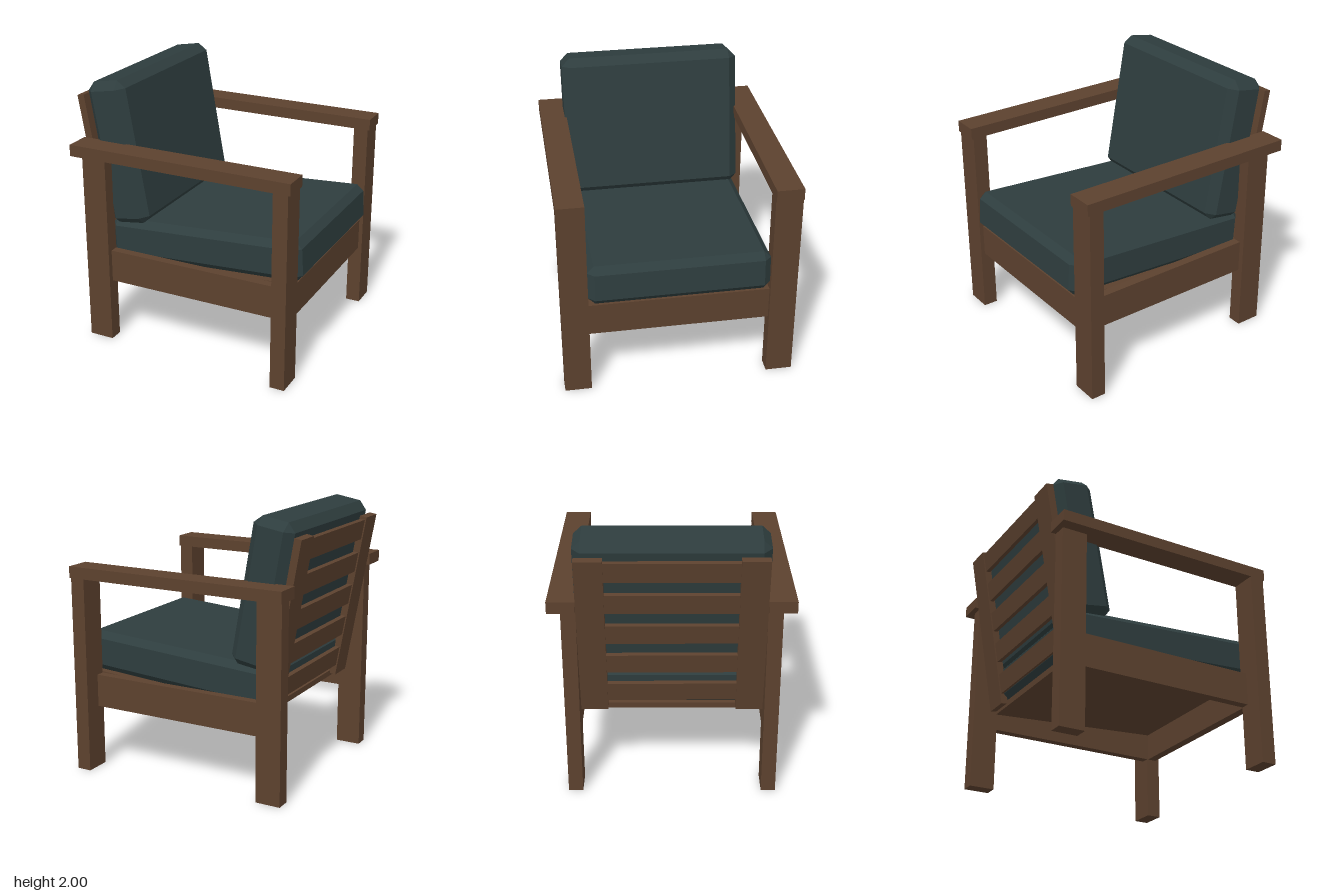
import * as THREE from 'three';
import { ConvexGeometry } from 'three/addons/geometries/ConvexGeometry.js';

export function createModel() {
  const wood = new THREE.MeshStandardMaterial({ color: 0x5c412e });
  wood.name = 'brownWood';
  const fabric = new THREE.MeshStandardMaterial({ color: 0x2e3d3e });
  fabric.name = 'darkGreenFabric';

  const chair = new THREE.Group();
  chair.name = 'armchair';

  // Box given by its min and max on each axis
  function plank(name, [x0, x1], [y0, y1], [z0, z1], parent = chair) {
    const mesh = new THREE.Mesh(new THREE.BoxGeometry(x1 - x0, y1 - y0, z1 - z0), wood);
    mesh.position.set((x0 + x1) / 2, (y0 + y1) / 2, (z0 + z1) / 2);
    mesh.name = name;
    parent.add(mesh);
    return mesh;
  }

  // Box with every edge chamfered and every corner cut to a triangle
  function cushion(name, w, h, d, bevel) {
    const points = [];
    for (const sx of [-1, 1]) for (const sy of [-1, 1]) for (const sz of [-1, 1]) {
      for (let axis = 0; axis < 3; axis++) {
        const inset = [bevel, bevel, bevel];
        inset[axis] = 0;
        points.push(new THREE.Vector3(
          sx * (w / 2 - inset[0]), sy * (h / 2 - inset[1]), sz * (d / 2 - inset[2])));
      }
    }
    const mesh = new THREE.Mesh(new ConvexGeometry(points), fabric);
    mesh.name = name;
    chair.add(mesh);
    return mesh;
  }

  // Legs, arms and side rails, mirrored
  for (const s of [-1, 1]) {
    const span = (a, b) => (s > 0 ? [a, b] : [-b, -a]);
    plank('frontLeg', [0.75, 0.86], [0, 1.47], span(0.655, 0.85));
    plank('rearLeg', [-0.8, -0.61], [0, 1.47], span(0.655, 0.76));
    plank('armrest', [-0.84, 0.875], [1.47, 1.555], span(0.655, 0.85));
    plank('sideRail', [-0.61, 0.75], [0.475, 0.72], span(0.655, 0.72));
  }
  plank('frontRail', [0.76, 0.83], [0.475, 0.72], [-0.655, 0.655]);

  // Seat, rising slightly to the front
  const seatTilt = THREE.MathUtils.degToRad(3.6);
  const seat = cushion('seatCushion', 1.53, 0.3, 1.31, 0.05);
  seat.position.set(0.11, 0.843, 0);
  seat.rotation.z = seatTilt;
  const panel = plank('seatPanel', [-0.62, 0.76], [0.643, 0.688], [-0.655, 0.655]);
  panel.rotation.z = seatTilt;

  // Back, leaning by ten degrees
  const backTilt = THREE.MathUtils.degToRad(10);
  const back = cushion('backCushion', 0.315, 1.08, 1.34, 0.06);
  back.position.set(-0.578, 1.453, 0);
  back.rotation.z = backTilt;

  // Slatted back frame; its origin is the top of the posts
  const frame = new THREE.Group();
  frame.name = 'backFrame';
  frame.position.set(-0.858, 1.87, 0);
  frame.rotation.z = backTilt;
  chair.add(frame);
  plank('backPost', [-0.027, 0.027], [-1.27, 0], [0.46, 0.655], frame);
  plank('backPost', [-0.027, 0.027], [-1.27, 0], [-0.655, -0.46], frame);
  for (let i = 0; i < 5; i++) {
    const top = -0.02 - i * 0.255;
    plank('backSlat', [-0.017, 0.017], [top - 0.15, top], [-0.46, 0.46], frame);
  }

  return chair;
}
